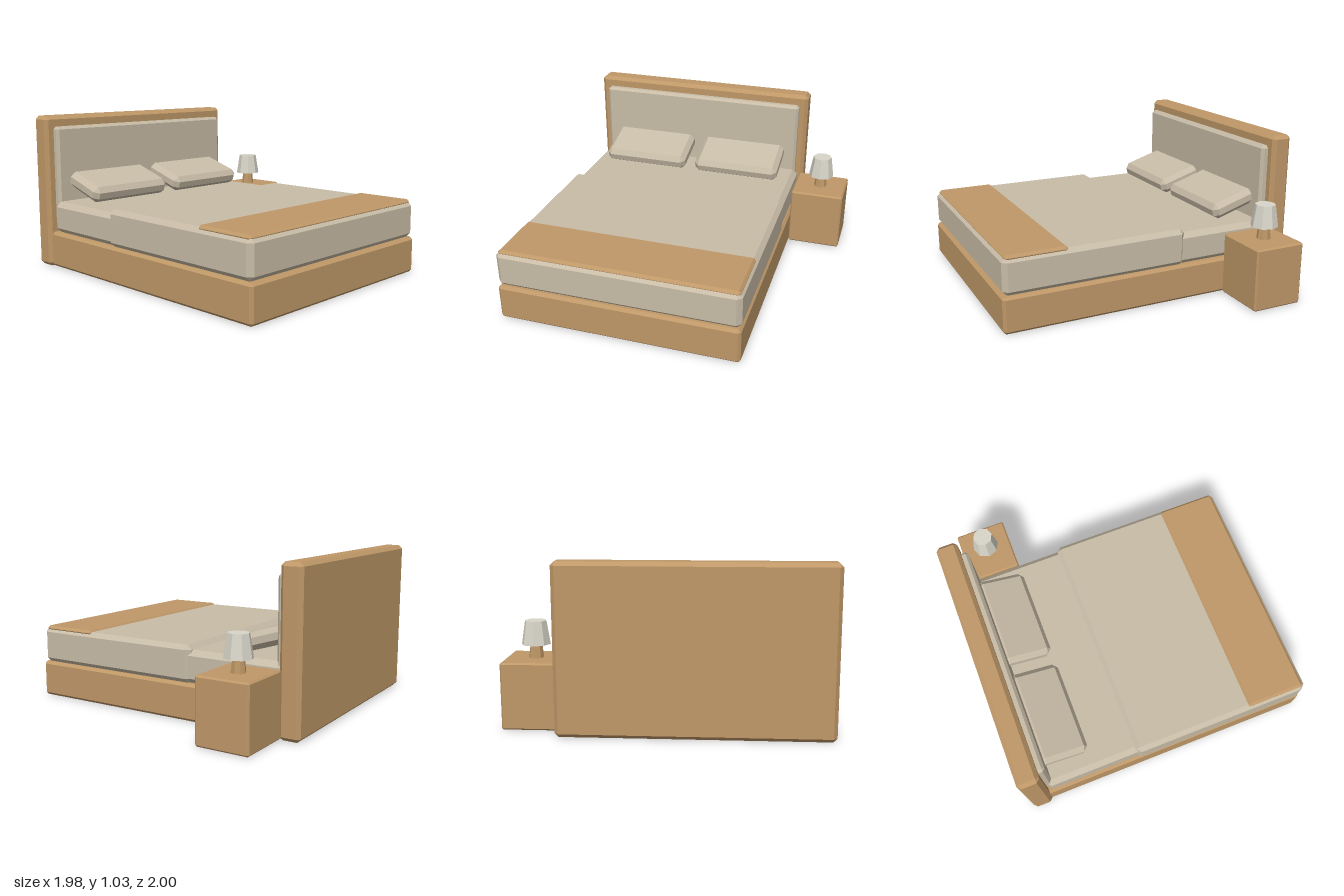
import * as THREE from 'three';
import { ConvexGeometry } from 'three/addons/geometries/ConvexGeometry.js';

const material = (name, color) => {
  const m = new THREE.MeshStandardMaterial({ color });
  m.name = name;
  return m;
};

// Box with every edge and corner cut off by c
function chamferBox(w, h, d, c) {
  const points = [];
  for (const sx of [-1, 1]) for (const sy of [-1, 1]) for (const sz of [-1, 1]) {
    const [x, y, z] = [w / 2, h / 2, d / 2];
    points.push(
      new THREE.Vector3(sx * x, sy * (y - c), sz * (z - c)),
      new THREE.Vector3(sx * (x - c), sy * y, sz * (z - c)),
      new THREE.Vector3(sx * (x - c), sy * (y - c), sz * z));
  }
  return new ConvexGeometry(points);
}

export function createModel() {
  const wood = material('wood', 0xbf9868);
  const linen = material('linen', 0xc8bca7);
  const shadeCloth = material('lampshade cloth', 0xd8d5c9);
  wood.flatShading = linen.flatShading = shadeCloth.flatShading = true;

  const model = new THREE.Group();
  model.name = 'bedWithNightstand';

  const add = (name, geometry, mat, x, y, z, parent = model) => {
    const mesh = new THREE.Mesh(geometry, mat);
    mesh.name = name;
    mesh.position.set(x, y, z);
    parent.add(mesh);
    return mesh;
  };
  // Chamfered block given by its limits on each axis
  const block = (name, mat, [x0, x1], [y0, y1], [z0, z1], c, parent) =>
    add(name, chamferBox(x1 - x0, y1 - y0, z1 - z0, c), mat,
      (x0 + x1) / 2, (y0 + y1) / 2, (z0 + z1) / 2, parent);

  // Wooden frame and headboard
  block('bedBase', wood, [-0.965, 0.62], [0, 0.24], [-0.9, 1], 0.018);
  block('headboard', wood, [-0.99, 0.645], [0, 1.03], [-1, -0.86], 0.024);
  block('headboardPanel', linen, [-0.93, 0.585], [0.3, 0.958], [-0.88, -0.815], 0.018);

  // Bedding
  block('mattress', linen, [-0.95, 0.605], [0.235, 0.45], [-0.86, 0.97], 0.035);
  block('blanket', linen, [-0.965, 0.617], [0.238, 0.48], [-0.23, 0.992], 0.03);
  block('foldedThrow', wood, [-0.95, 0.605], [0.455, 0.491], [0.572, 0.975], 0.016);

  // Pillows leaning on the headboard
  for (const [name, x] of [['rightPillow', -0.525], ['leftPillow', 0.182]]) {
    add(name, chamferBox(0.626, 0.11, 0.335, 0.033), linen, x, 0.553, -0.688).rotation.x = 0.3;
  }

  // Nightstand and lamp
  block('nightstand', wood, [0.618, 0.99], [0, 0.412], [-0.87, -0.52], 0.01);
  const lamp = new THREE.Group();
  lamp.name = 'lamp';
  lamp.position.set(0.805, 0.41, -0.695);
  model.add(lamp);
  add('lampBase', new THREE.CylinderGeometry(0.035, 0.046, 0.1, 8), wood, 0, 0.05, 0, lamp);
  add('lampShade', new THREE.CylinderGeometry(0.066, 0.089, 0.145, 8), shadeCloth, 0, 0.158, 0, lamp);

  return model;
}
